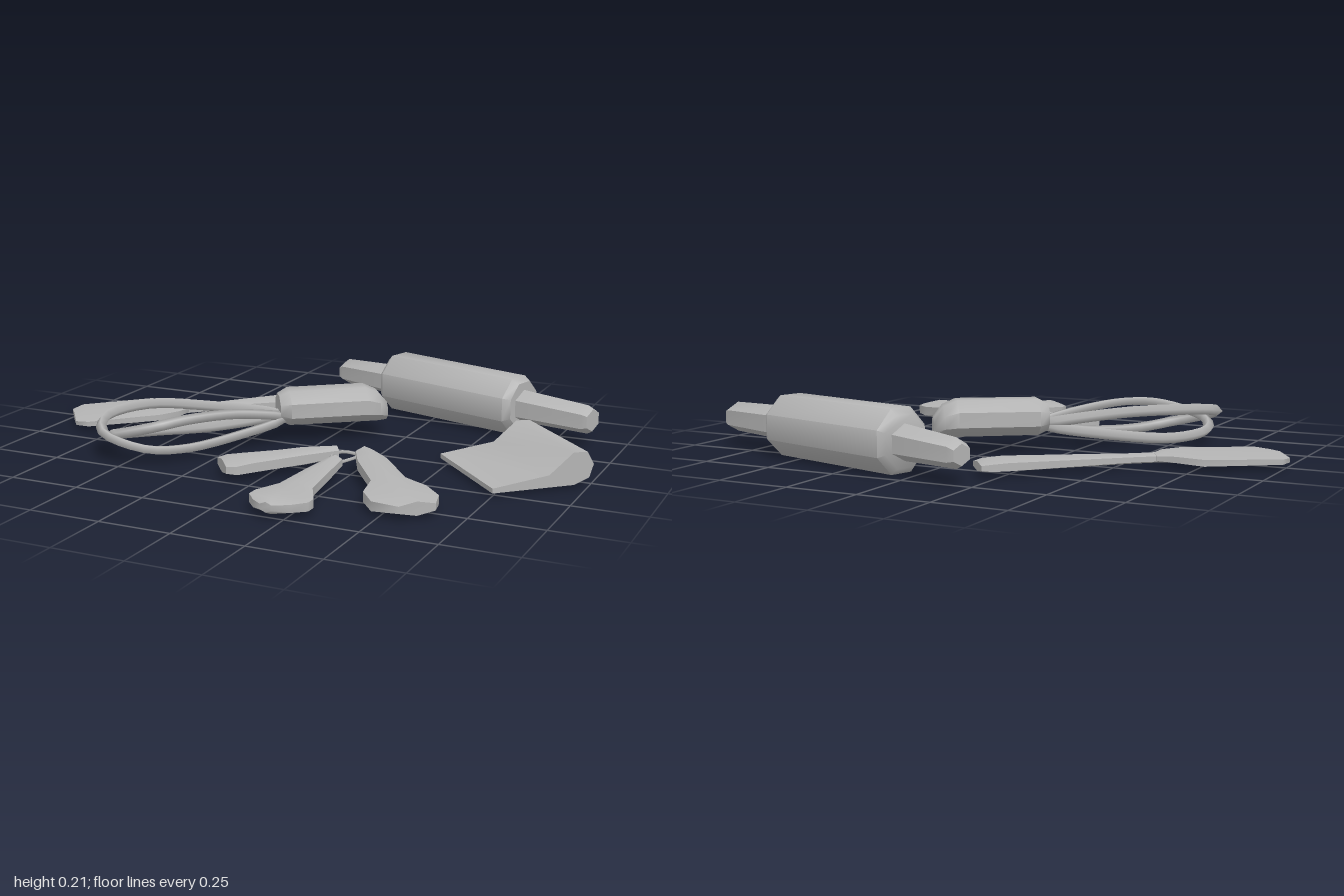
import * as THREE from 'three';
import { toCreasedNormals } from 'three/addons/utils/BufferGeometryUtils.js';

const steel = new THREE.MeshStandardMaterial({ color: 0xb4b4b4 });
steel.name = 'brushed grey';

// Skin through cross-sections [x, z, halfWidth, bottomY, topY] lying along one straight direction.
function loft(sections, sides = 8) {
  const first = sections[0], last = sections[sections.length - 1];
  const dir = new THREE.Vector2(last[0] - first[0], last[1] - first[1]).normalize();
  const grow = 1 / Math.cos(Math.PI / sides);
  const pos = [], index = [];
  for (const [x, z, w, y0, y1] of sections) {
    for (let k = 0; k < sides; k++) {
      const a = ((k + 0.5) / sides) * Math.PI * 2;
      const side = Math.cos(a) * w * grow;
      pos.push(x + dir.y * side, (y0 + y1) / 2 + (Math.sin(a) * (y1 - y0) * grow) / 2, z - dir.x * side);
    }
  }
  const n = sections.length;
  for (let i = 0; i < n - 1; i++) {
    for (let k = 0; k < sides; k++) {
      const a = i * sides + k, b = i * sides + ((k + 1) % sides);
      index.push(a, b, a + sides, b, b + sides, a + sides);
    }
  }
  // End caps
  for (let k = 1; k < sides - 1; k++) {
    index.push(0, k + 1, k);
    const e = (n - 1) * sides;
    index.push(e, e + k, e + k + 1);
  }
  const g = new THREE.BufferGeometry();
  g.setAttribute('position', new THREE.Float32BufferAttribute(pos, 3));
  g.setIndex(index);
  return toCreasedNormals(g, 0.9);
}

function add(parent, name, geometry) {
  const mesh = new THREE.Mesh(geometry, steel);
  mesh.name = name;
  parent.add(mesh);
  return mesh;
}

function wire(points, radius, segments) {
  const curve = new THREE.CatmullRomCurve3(points.map((p) => new THREE.Vector3(...p)), true);
  return new THREE.TubeGeometry(curve, segments, radius, 4, true);
}

export function createModel() {
  const model = new THREE.Group();
  model.name = 'bakingTools';

  // Rolling pin: barrel with two thinner grips
  const pin = new THREE.Group();
  pin.name = 'rollingPin';
  add(pin, 'barrel', loft([
    [0.04, -0.65, 0.085, 0.02, 0.19],
    [0.06, -0.645, 0.102, 0, 0.21],
    [0.59, -0.492, 0.102, 0, 0.205],
    [0.615, -0.485, 0.085, 0.02, 0.19],
  ]));
  add(pin, 'leftGrip', loft([
    [0.6, -0.49, 0.056, 0.05, 0.155],
    [0.875, -0.41, 0.046, 0.055, 0.145],
    [0.893, -0.405, 0.04, 0.065, 0.135],
  ], 6));
  add(pin, 'rightGrip', loft([
    [0.05, -0.65, 0.056, 0.05, 0.155],
    [-0.19, -0.735, 0.042, 0.055, 0.14],
    [-0.212, -0.742, 0.033, 0.065, 0.125],
  ], 6));
  model.add(pin);

  // Spatula: thin wide blade, pinched neck, flaring grip
  const spatula = new THREE.Group();
  spatula.name = 'spatula';
  add(spatula, 'blade', loft([
    [-0.95, 0.095, 0.09, 0.01, 0.035],
    [-0.92, 0.065, 0.13, 0.01, 0.04],
    [-0.715, -0.105, 0.127, 0.012, 0.05],
    [-0.645, -0.135, 0.075, 0.015, 0.05],
    [-0.61, -0.17, 0.03, 0.018, 0.045],
  ], 6));
  add(spatula, 'grip', loft([
    [-0.64, -0.14, 0.032, 0.015, 0.045],
    [-0.55, -0.22, 0.027, 0.015, 0.045],
    [-0.23, -0.505, 0.068, 0.01, 0.055],
    [-0.195, -0.545, 0.066, 0.012, 0.052],
    [-0.175, -0.575, 0.05, 0.018, 0.045],
  ], 6));
  model.add(spatula);

  // Whisk: thick grip and two crossing wire loops
  const whisk = new THREE.Group();
  whisk.name = 'whisk';
  add(whisk, 'grip', loft([
    [-0.16, -0.035, 0.06, 0.075, 0.165],
    [-0.13, -0.055, 0.086, 0.06, 0.183],
    [0.095, -0.22, 0.086, 0.06, 0.185],
    [0.135, -0.245, 0.074, 0.06, 0.165],
    [0.162, -0.265, 0.042, 0.06, 0.125],
  ]));
  // Plan of a loop as [x, z, tilt]
  const plan = [
    [-0.16, -0.03, 0.1], [-0.39, 0.095, 0.8], [-0.56, 0.19, 1], [-0.64, 0.34, 0.7], [-0.585, 0.45, 0.1],
    [-0.43, 0.44, -0.7], [-0.34, 0.34, -1], [-0.235, 0.16, -0.8], [-0.13, -0.01, -0.1],
  ];
  for (const [name, tilt, size] of [['upperLoop', 1, 1], ['lowerLoop', -1, 0.95]]) {
    const pts = plan.map(([x, z, t]) => [
      -0.15 + (x + 0.15) * size, 0.09 + tilt * t * 0.05, -0.02 + (z + 0.02) * size,
    ]);
    add(whisk, name, wire(pts, 0.019, 36));
  }
  model.add(whisk);

  // Measuring spoons joined by a small ring
  const spoons = new THREE.Group();
  spoons.name = 'measuringSpoons';
  add(spoons, 'smallSpoon', loft([
    [0.17, 0.18, 0.022, 0.03, 0.07],
    [0.08, 0.265, 0.042, 0.02, 0.075],
    [-0.06, 0.395, 0.064, 0.015, 0.07],
    [-0.1, 0.43, 0.074, 0.015, 0.065],
    [-0.125, 0.452, 0.058, 0.02, 0.06],
  ], 6));
  add(spoons, 'mediumSpoon', loft([
    [0.21, 0.28, 0.025, 0.03, 0.07],
    [0.21, 0.43, 0.042, 0.02, 0.07],
    [0.21, 0.58, 0.058, 0.015, 0.065],
    [0.208, 0.66, 0.102, 0.01, 0.06],
    [0.208, 0.7, 0.102, 0.01, 0.06],
    [0.205, 0.745, 0.062, 0.014, 0.058],
    [0.2, 0.772, 0.02, 0.025, 0.055],
  ], 6));
  add(spoons, 'largeSpoon', loft([
    [0.27, 0.18, 0.03, 0.03, 0.08],
    [0.33, 0.255, 0.05, 0.02, 0.08],
    [0.45, 0.405, 0.058, 0.015, 0.07],
    [0.5, 0.47, 0.105, 0.005, 0.065],
    [0.56, 0.535, 0.11, 0.005, 0.06],
    [0.615, 0.575, 0.06, 0.015, 0.055],
  ], 6));
  add(spoons, 'ring', wire([
    [0.17, 0.05, 0.185], [0.21, 0.055, 0.18], [0.25, 0.05, 0.185], [0.24, 0.05, 0.25], [0.21, 0.045, 0.28], [0.18, 0.05, 0.25],
  ], 0.006, 14));
  model.add(spoons);

  // Dough scraper: flat blade rising into a raised grip along the rear edge
  const outline = [[0, 0.012], [0.29, 0.01], [0.345, 0.03], [0.36, 0.075], [0.335, 0.118], [0.285, 0.12], [0.2, 0.052], [0, 0.028]];
  const profile = new THREE.Shape(outline.map(([s, y]) => new THREE.Vector2(s, y)));
  const body = new THREE.ExtrudeGeometry(profile, { depth: 0.41, bevelEnabled: false });
  body.translate(0, 0, -0.205);
  const scraper = add(model, 'doughScraper', toCreasedNormals(body, 0.9));
  scraper.rotation.y = 0.77;
  scraper.position.set(0.61, 0, 0.125);

  return model;
}
